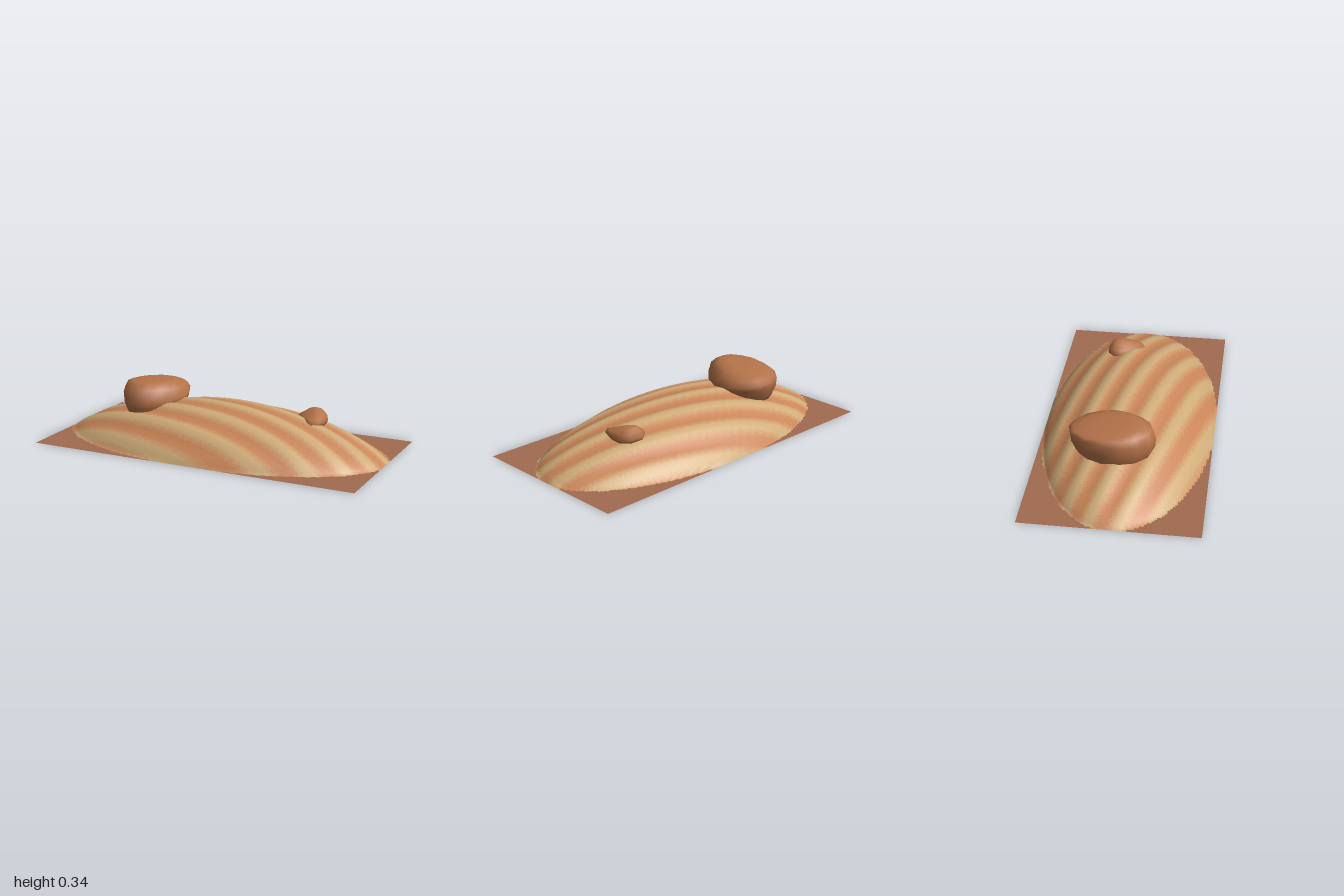
import * as THREE from 'three';

const PERIOD = 0.17; // spacing of the wind ripples

// Ripple wave, running diagonally over the dune
function ripple(x, z) {
  return Math.cos((2 * Math.PI * (z - 0.28 * x + 0.015 * Math.sin(4 * x))) / PERIOD);
}

// Dune height: an elliptical dome with faint ripples that fade at the rim
function height(x, z) {
  const d = 1 - x * x - 4 * z * z;
  if (d <= 1e-6) return 0;
  return 0.24 * Math.pow(d, 0.8) + 0.007 * ripple(x, z) * Math.min(1, d * 3);
}

// Dune surface, sorted into bands of sand tone that follow the ripples
function makeDune() {
  const geo = new THREE.PlaneGeometry(2, 1, 120, 80).rotateX(-Math.PI / 2);
  const pos = geo.attributes.position;
  for (let i = 0; i < pos.count; i++) pos.setY(i, height(pos.getX(i), pos.getZ(i)));
  geo.computeVertexNormals();

  const tones = [0xc98558, 0xcb9162, 0xcd9e6d, 0xcfab79];
  const bands = tones.map(() => []);
  const src = geo.index.array;
  for (let i = 0; i < src.length; i += 3) {
    const tri = [src[i], src[i + 1], src[i + 2]];
    if (tri.every((v) => pos.getY(v) === 0)) continue; // bare corners
    const mean = tri.reduce((s, v) => s + ripple(pos.getX(v), pos.getZ(v)), 0) / 3;
    const band = Math.floor(((mean + 1) / 2) * tones.length);
    bands[THREE.MathUtils.clamp(band, 0, tones.length - 1)].push(...tri);
  }
  geo.setIndex(bands.flat());
  geo.clearGroups();
  let start = 0;
  bands.forEach((b, i) => {
    geo.addGroup(start, b.length, i);
    start += b.length;
  });
  const mesh = new THREE.Mesh(geo, tones.map((color) => new THREE.MeshStandardMaterial({ color })));
  mesh.name = 'dune';
  return mesh;
}

// Rock lofted from a plan outline [x, z]; each level is [y, scale, tiltX, tiltZ, shiftX, shiftZ]
function makeRock(name, outline, centre, levels, color) {
  const n = outline.length;
  const verts = [];
  const index = [];
  const addPoint = (dx, dz, [y, , tx = 0, tz = 0, sx = 0, sz = 0]) =>
    verts.push(centre[0] + dx + sx, y + dx * tx + dz * tz, centre[1] + dz + sz);

  for (const level of levels) {
    for (const [x, z] of outline) addPoint((x - centre[0]) * level[1], (z - centre[1]) * level[1], level);
  }
  const bottom = levels.length * n;
  addPoint(0, 0, levels[0]);
  addPoint(0, 0, levels[levels.length - 1]);

  for (let j = 0; j < n; j++) {
    const k = (j + 1) % n;
    for (let r = 0; r < levels.length - 1; r++) {
      const a = r * n + j, b = r * n + k;
      index.push(a, a + n, b, b, a + n, b + n);
    }
    const top = (levels.length - 1) * n;
    index.push(bottom, j, k, bottom + 1, top + k, top + j);
  }
  const geo = new THREE.BufferGeometry();
  geo.setAttribute('position', new THREE.Float32BufferAttribute(verts, 3));
  geo.setIndex(index);
  geo.computeVertexNormals();
  const mesh = new THREE.Mesh(geo, new THREE.MeshStandardMaterial({ color }));
  mesh.name = name;
  return mesh;
}

export function createModel() {
  const group = new THREE.Group();
  group.name = 'duneWithRocks';

  // Flat ground sheet under the dune
  const ground = new THREE.Mesh(
    new THREE.PlaneGeometry(2, 1).rotateX(-Math.PI / 2),
    new THREE.MeshStandardMaterial({ color: 0xa26a50, side: THREE.DoubleSide })
  );
  ground.name = 'groundSheet';
  group.add(ground, makeDune());

  // Large flat-topped boulder, outline running clockwise from above
  const boulder = [
    [-0.47, -0.29], [-0.40, -0.27], [-0.34, -0.22], [-0.30, -0.13], [-0.29, -0.05], [-0.31, 0.03],
    [-0.36, 0.12], [-0.42, 0.18], [-0.49, 0.2], [-0.56, 0.18], [-0.62, 0.11], [-0.66, 0.02],
    [-0.65, -0.09], [-0.62, -0.19], [-0.55, -0.27],
  ];
  group.add(makeRock('largeRock', boulder, [-0.475, -0.045], [
    [0.11, 0.72, 0.1, -0.05],
    [0.16, 0.87, 0.1, -0.08],
    [0.215, 0.98, 0, -0.08],
    [0.26, 1, -0.12, -0.06],
    [0.3, 0.91, -0.06, 0.04],
    [0.322, 0.7, 0, 0.09, -0.01],
    [0.326, 0.4, 0, 0.08, -0.01],
  ], 0xb5734a));

  // Small pointed stone
  const stone = [
    [0.48, -0.205], [0.56, -0.19], [0.6, -0.14], [0.605, -0.07], [0.59, -0.01],
    [0.55, 0.015], [0.5, -0.02], [0.45, -0.07], [0.42, -0.11], [0.435, -0.17],
  ];
  group.add(makeRock('smallRock', stone, [0.52, -0.105], [
    [0.14, 0.75],
    [0.165, 0.95, 0, 0.03],
    [0.185, 1, -0.05, 0.05],
    [0.208, 0.85, 0, -0.08, 0.005, -0.008],
    [0.23, 0.5, 0, -0.12, 0.005, -0.022],
    [0.238, 0.2, 0, 0, 0.003, -0.03],
  ], 0xb5734a));

  return group;
}
